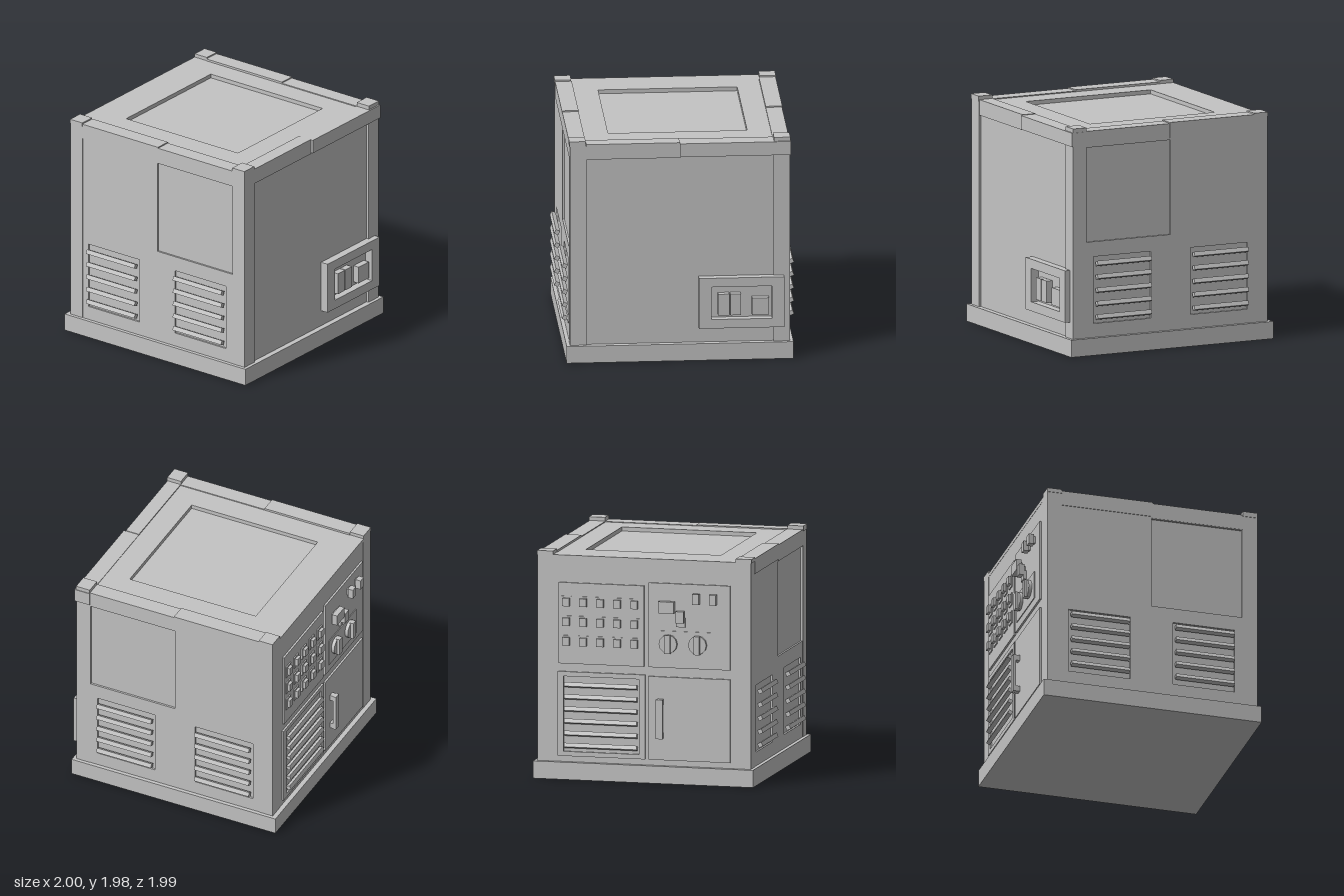
import * as THREE from 'three';

const grey = new THREE.MeshStandardMaterial({ color: 0xc4c4c4 });
grey.name = 'paintedGrey';

export function createModel() {
  const model = new THREE.Group();
  model.name = 'equipmentCabinet';

  const add = (name, geometry) => {
    const mesh = new THREE.Mesh(geometry, grey);
    mesh.name = name;
    model.add(mesh);
    return mesh;
  };
  // Box given by its limits on each axis
  const box = (name, x0, x1, y0, y1, z0, z1) => {
    const mesh = add(name, new THREE.BoxGeometry(x1 - x0, y1 - y0, z1 - z0));
    mesh.position.set((x0 + x1) / 2, (y0 + y1) / 2, (z0 + z1) / 2);
    return mesh;
  };
  // Flat plate with rectangular holes, each rectangle [u0, u1, v0, v1]
  const plate = (name, outer, holes, depth) => {
    const trace = (path, [a, b, c, d]) => path.moveTo(a, c).lineTo(b, c).lineTo(b, d).lineTo(a, d).closePath();
    const shape = trace(new THREE.Shape(), outer);
    holes.forEach((h) => shape.holes.push(trace(new THREE.Path(), h)));
    return add(name, new THREE.ExtrudeGeometry(shape, { depth, bevelEnabled: false }));
  };

  // Plinth and core
  box('plinth', -0.96, 0.98, 0, 0.15, -0.97, 0.97);
  box('cabinetCore', -0.91, 0.93, 0.15, 1.9, -0.92, 0.92);

  // Corner posts with raised caps
  for (const [x0, x1, top] of [[-0.92, -0.79, 1.965], [0.82, 0.95, 1.975]]) {
    for (const s of [-1, 1]) {
      box('cornerPost', x0, x1, 0.15, 1.93, Math.min(s * 0.8, s * 0.94), Math.max(s * 0.8, s * 0.94));
      box('cornerCap', x0, x1, 1.93, top, Math.min(s * 0.805, s * 0.945), Math.max(s * 0.805, s * 0.945));
    }
  }

  // Roof with a sunken centre
  const roof = plate('roofFrame', [-0.92, 0.94, -0.93, 0.93], [[-0.59, 0.61, -0.59, 0.6]], 0.035);
  roof.rotation.x = -Math.PI / 2;
  roof.position.y = 1.9;

  const vents = [[-0.73, -0.18, 0.27, 0.85], [0.2, 0.75, 0.27, 0.85]];
  for (const s of [-1, 1]) {
    // Front and back skins with window recess and vent openings
    const skin = plate('wallPanel', [-0.79, 0.82, 0.15, 1.9], [[0.01, 0.815, 0.98, 1.8], ...vents], 0.017);
    skin.position.z = s > 0 ? 0.92 : -0.937;
    // Tilted louvres
    for (const [x0, x1] of vents) {
      for (let i = 0; i < 5; i++) {
        const bar = add('ventLouvre', new THREE.BoxGeometry(x1 - x0 - 0.03, 0.038, 0.038));
        bar.position.set((x0 + x1) / 2, 0.33 + i * 0.116, s * 0.968);
        bar.rotation.x = -s * 0.42;
      }
    }
    // Top rails in two lengths
    const rail = (x0, x1, y0, y1, out) =>
      box('topRail', x0, x1, y0, y1, s > 0 ? 0.8 : -out, s > 0 ? out : -0.8);
    rail(-0.79, 0.02, 1.82, 1.953, 0.943);
    rail(0.0, 0.82, 1.805, 1.943, 0.94);
  }

  // Left side rails
  box('sideRail', 0.82, 0.945, 1.81, 1.945, 0, 0.8);
  box('sideRail', 0.82, 0.963, 1.82, 1.94, -0.95, 0);

  // Socket box on the left side
  const socketFrame = plate('socketFrame', [0.16, 0.89, 0.29, 0.74], [[0.265, 0.785, 0.37, 0.66]], 0.07);
  socketFrame.rotation.y = Math.PI / 2;
  socketFrame.position.x = 0.93;
  box('socketBlock', 0.93, 0.985, 0.4, 0.59, -0.42, -0.325);
  box('socketBlock', 0.93, 0.985, 0.4, 0.59, -0.52, -0.43);
  box('socketBlock', 0.93, 0.985, 0.4, 0.55, -0.76, -0.615);

  // Right side: backing and button panel
  box('controlWall', -0.918, -0.91, 0.15, 1.9, -0.8, 0.8);
  box('buttonPanel', -0.935, -0.91, 1.0, 1.7, -0.75, 0);
  for (let row = 0; row < 3; row++) {
    for (let col = 0; col < 5; col++) {
      const z = -0.68 + col * 0.15;
      const y = 1.19 + row * 0.17;
      box('buttonBase', -0.945, -0.93, y - 0.055, y + 0.055, z - 0.043, z + 0.043);
      box('button', -0.97, -0.94, y - 0.03, y + 0.04, z - 0.03, z + 0.03);
    }
  }

  // Right side: louvred vent
  const sideVent = plate('sideVentFrame', [-0.76, 0.01, 0.2, 0.93], [[-0.71, -0.04, 0.24, 0.89]], 0.025);
  sideVent.rotation.y = -Math.PI / 2;
  sideVent.position.x = -0.91;
  for (let i = 0; i < 6; i++) {
    const bar = add('sideLouvre', new THREE.BoxGeometry(0.036, 0.036, 0.64));
    bar.position.set(-0.95, 0.295 + i * 0.105, -0.375);
    bar.rotation.z = -0.42;
  }

  // Right side: door with pull handle
  box('door', -0.935, -0.91, 0.2, 0.92, 0.04, 0.76);
  box('handleGrip', -0.995, -0.97, 0.39, 0.73, 0.12, 0.18);
  box('handleFoot', -0.97, -0.93, 0.39, 0.44, 0.125, 0.175);
  box('handleFoot', -0.97, -0.93, 0.68, 0.73, 0.125, 0.175);

  // Right side: switch panel
  box('switchPanel', -0.935, -0.91, 1.0, 1.73, 0.04, 0.76);
  for (const [y, z, h, w] of [[1.53, 0.21, 0.1, 0.14], [1.45, 0.33, 0.1, 0.07], [1.61, 0.47, 0.09, 0.06], [1.61, 0.62, 0.09, 0.06]]) {
    box('switchStem', -0.97, -0.93, y - h * 0.35, y + h * 0.35, z - w * 0.3, z + w * 0.3);
    box('switchKnob', -0.998, -0.95, y - h / 2, y + h / 2, z - w / 2, z + w / 2);
  }
  box('switchBracket', -0.96, -0.93, 1.36, 1.44, 0.29, 0.37);

  // Round dials with grips
  box('dialPlate', -0.942, -0.93, 1.07, 1.32, 0.1, 0.62);
  for (const z of [0.22, 0.48]) {
    const dial = add('dial', new THREE.CylinderGeometry(0.08, 0.08, 0.03, 12));
    dial.rotation.z = Math.PI / 2;
    dial.position.set(-0.955, 1.21, z);
    box('dialGrip', -0.995, -0.96, 1.13, 1.29, z - 0.025, z + 0.025);
  }
  return model;
}
